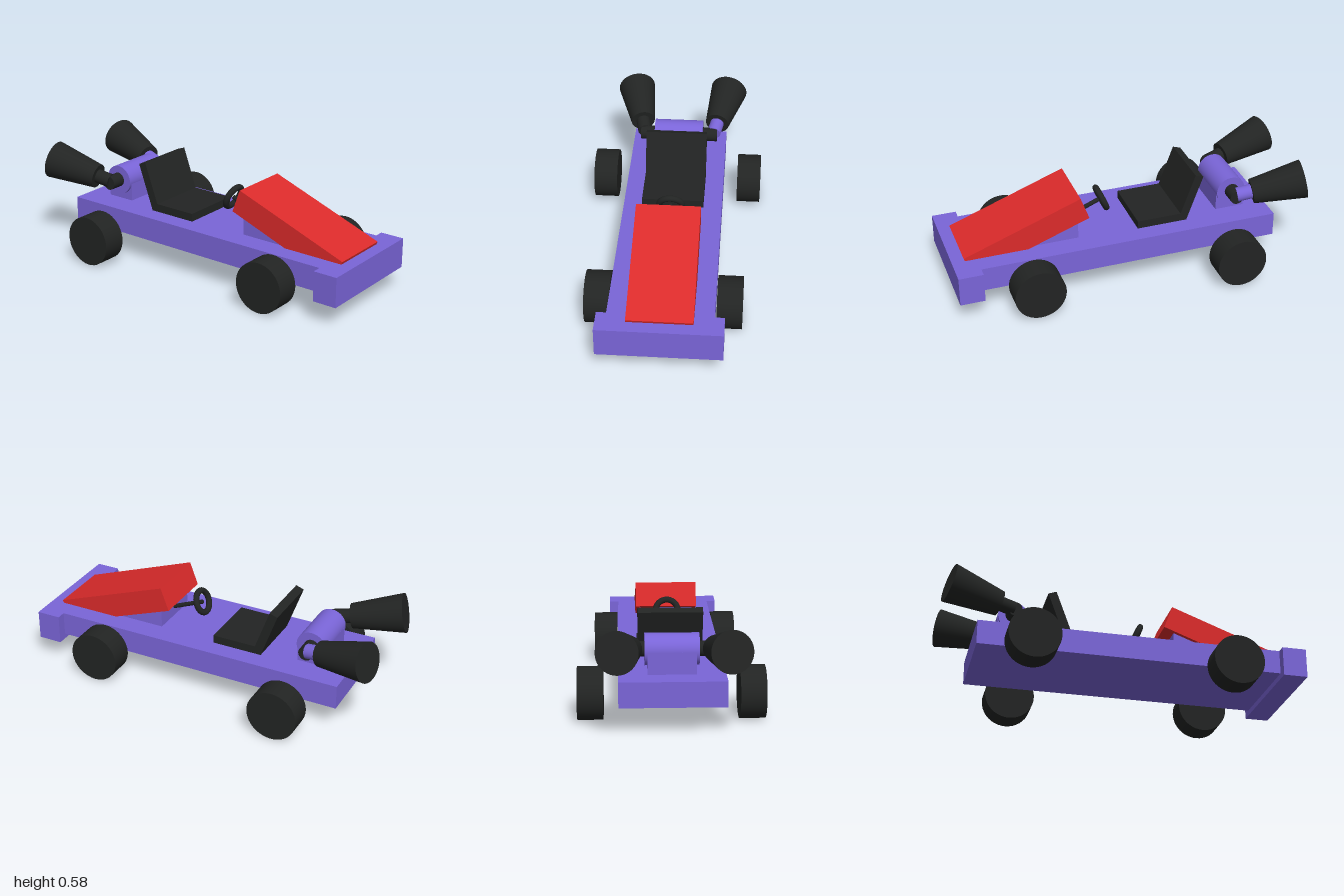
import * as THREE from 'three';

const purple = new THREE.MeshStandardMaterial({ color: 0x7a65d8 });
const red = new THREE.MeshStandardMaterial({ color: 0xdc2b2b });
const black = new THREE.MeshStandardMaterial({ color: 0x222423 });

export function createModel() {
  const model = new THREE.Group();
  model.name = 'goKart';

  function add(name, geometry, material, x = 0, y = 0, z = 0) {
    const mesh = new THREE.Mesh(geometry, material);
    mesh.name = name;
    mesh.position.set(x, y, z);
    model.add(mesh);
    return mesh;
  }

  // Box given by half width and its y and z ranges
  function box(name, material, halfW, y0, y1, z0, z1) {
    return add(name, new THREE.BoxGeometry(halfW * 2, y1 - y0, z1 - z0), material, 0, (y0 + y1) / 2, (z0 + z1) / 2);
  }

  // Round bar or cone between two points
  function bar(name, material, a, b, rA, rB = rA) {
    const from = new THREE.Vector3(...a), to = new THREE.Vector3(...b);
    const dir = to.clone().sub(from);
    const mesh = add(name, new THREE.CylinderGeometry(rB, rA, dir.length(), 40), material);
    mesh.position.copy(from).add(to).multiplyScalar(0.5);
    mesh.quaternion.setFromUnitVectors(new THREE.Vector3(0, 1, 0), dir.normalize());
    return mesh;
  }

  // Chassis and front bumper
  box('chassis', purple, 0.275, 0.145, 0.28, -0.81, 0.88);
  box('frontBumper', purple, 0.327, 0.115, 0.28, 0.865, 1);

  // Sloping hood with its support block
  const hood = add('hood', new THREE.BoxGeometry(0.344, 0.137, 0.693), red, 0, 0.351, 0.586);
  hood.rotation.x = Math.atan2(0.24, 0.65);
  box('hoodSupport', purple, 0.15, 0.27, 0.388, 0.295, 0.6);

  // Steering column and wheel
  bar('steeringColumn', black, [0, 0.312, 0.35], [0, 0.41, 0.115], 0.012);
  const steering = add('steeringWheel', new THREE.TorusGeometry(0.062, 0.017, 16, 40), black, 0, 0.412, 0.115);
  steering.rotation.x = Math.atan2(0.075, 0.18);

  // Seat: cushion and reclined back as one side profile (z, y)
  const profile = new THREE.Shape([
    [-0.04, 0.28], [-0.04, 0.325], [-0.29, 0.325], [-0.373, 0.552], [-0.418, 0.536], [-0.325, 0.28],
  ].map(([z, y]) => new THREE.Vector2(-z, y)));
  const seatGeo = new THREE.ExtrudeGeometry(profile, { depth: 0.344, bevelEnabled: false });
  seatGeo.translate(0, 0, -0.172).rotateY(Math.PI / 2);
  add('seat', seatGeo, black);

  // Engine: cylinder on a block
  box('engineBlock', purple, 0.125, 0.27, 0.395, -0.685, -0.52);
  bar('engineCylinder', purple, [-0.14, 0.393, -0.602], [0.14, 0.393, -0.602], 0.083);

  for (const s of [-1, 1]) {
    const side = s > 0 ? 'left' : 'right';
    // Wheels
    bar(side + 'FrontWheel', black, [s * 0.28, 0.14, 0.585], [s * 0.415, 0.14, 0.585], 0.14);
    bar(side + 'RearWheel', black, [s * 0.353, 0.14, -0.535], [s * 0.488, 0.14, -0.535], 0.14);
    // Exhaust: stub, angled pipe and flared nozzle
    bar(side + 'ExhaustStub', black, [s * 0.13, 0.395, -0.605], [s * 0.223, 0.395, -0.605], 0.04);
    bar(side + 'ExhaustPipe', s > 0 ? purple : black, [s * 0.203, 0.402, -0.61], [s * 0.224, 0.423, -0.71], 0.04);
    bar(side + 'ExhaustNozzle', black, [s * 0.22, 0.418, -0.69], [s * 0.28, 0.478, -0.97], 0.069, 0.108);
  }

  return model;
}
